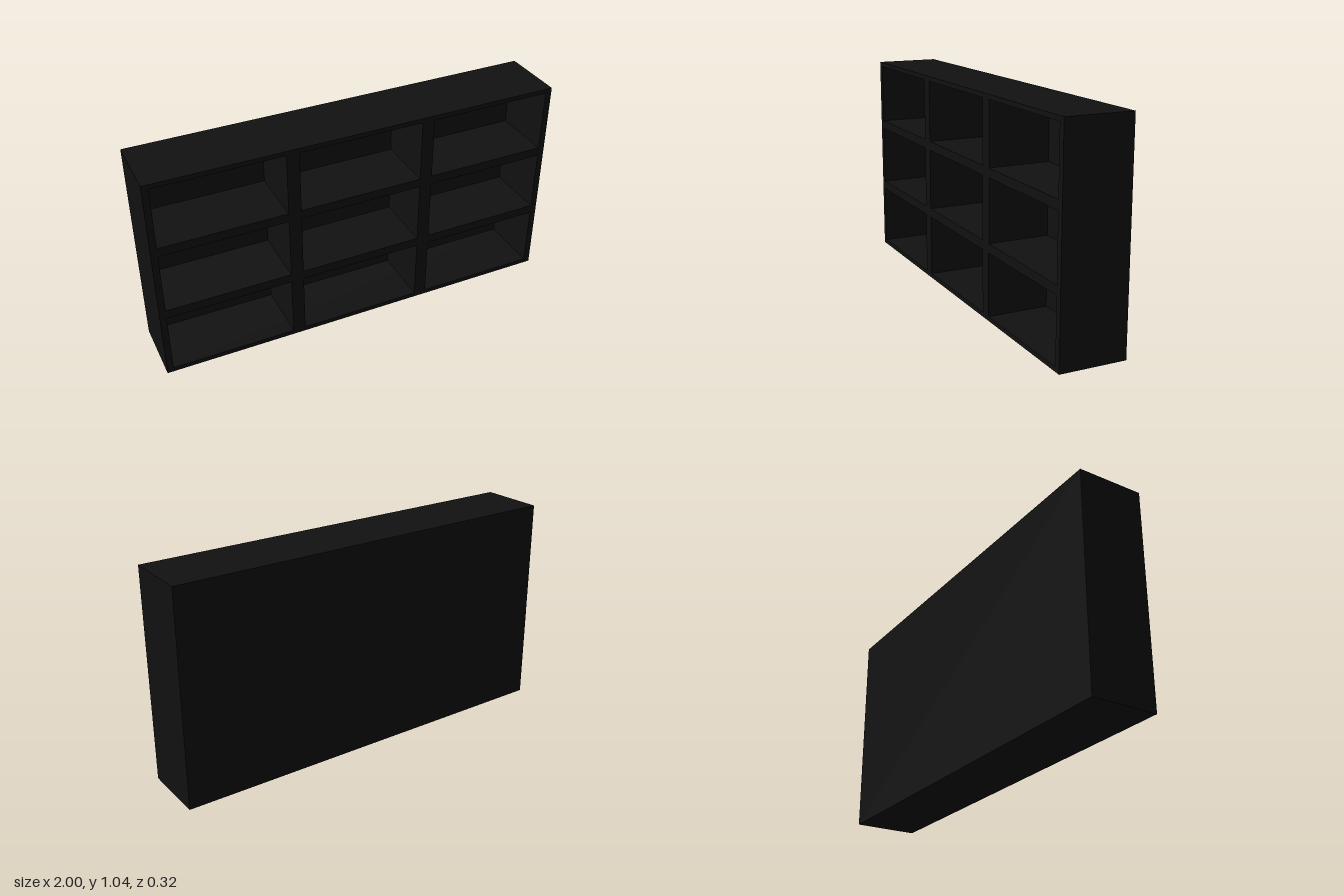
import * as THREE from 'three';

const W = 2, H = 1.04, D = 0.32;      // overall size
const SIDE = 0.031, CAP = 0.022;      // outer panel thicknesses
const BACK = 0.02;                    // back panel thickness
const COLS = 3, ROWS = 3;

export function createModel() {
  const group = new THREE.Group();
  group.name = 'shelfUnit';
  const material = new THREE.MeshStandardMaterial({ color: 0x111111 });

  const panel = (name, w, h, d, x, y, z) => {
    const mesh = new THREE.Mesh(new THREE.BoxGeometry(w, h, d), material);
    mesh.name = name;
    mesh.position.set(x, y, z);
    group.add(mesh);
  };

  const innerH = H - 2 * CAP;
  const depth = D - BACK;             // compartments sit in front of the back panel
  const z = BACK / 2;

  // Outer case
  panel('backPanel', W, H, BACK, 0, H / 2, -D / 2 + BACK / 2);
  panel('topPanel', W, CAP, depth, 0, H - CAP / 2, z);
  panel('bottomPanel', W, CAP, depth, 0, CAP / 2, z);
  for (const s of [-1, 1]) {
    panel(s > 0 ? 'leftSide' : 'rightSide', SIDE, innerH, depth, s * (W - SIDE) / 2, H / 2, z);
  }

  // Upright dividers, twice as thick as the sides
  for (let c = 1; c < COLS; c++) {
    panel('divider', 2 * SIDE, innerH, depth, -W / 2 + (c * W) / COLS, H / 2, z);
  }

  // Shelves, one per bay
  const bayW = W / COLS - 2 * SIDE;
  for (let c = 0; c < COLS; c++) {
    for (let r = 1; r < ROWS; r++) {
      panel('shelf', bayW, 2 * CAP, depth, -W / 2 + ((c + 0.5) * W) / COLS, (r * H) / ROWS, z);
    }
  }
  return group;
}
